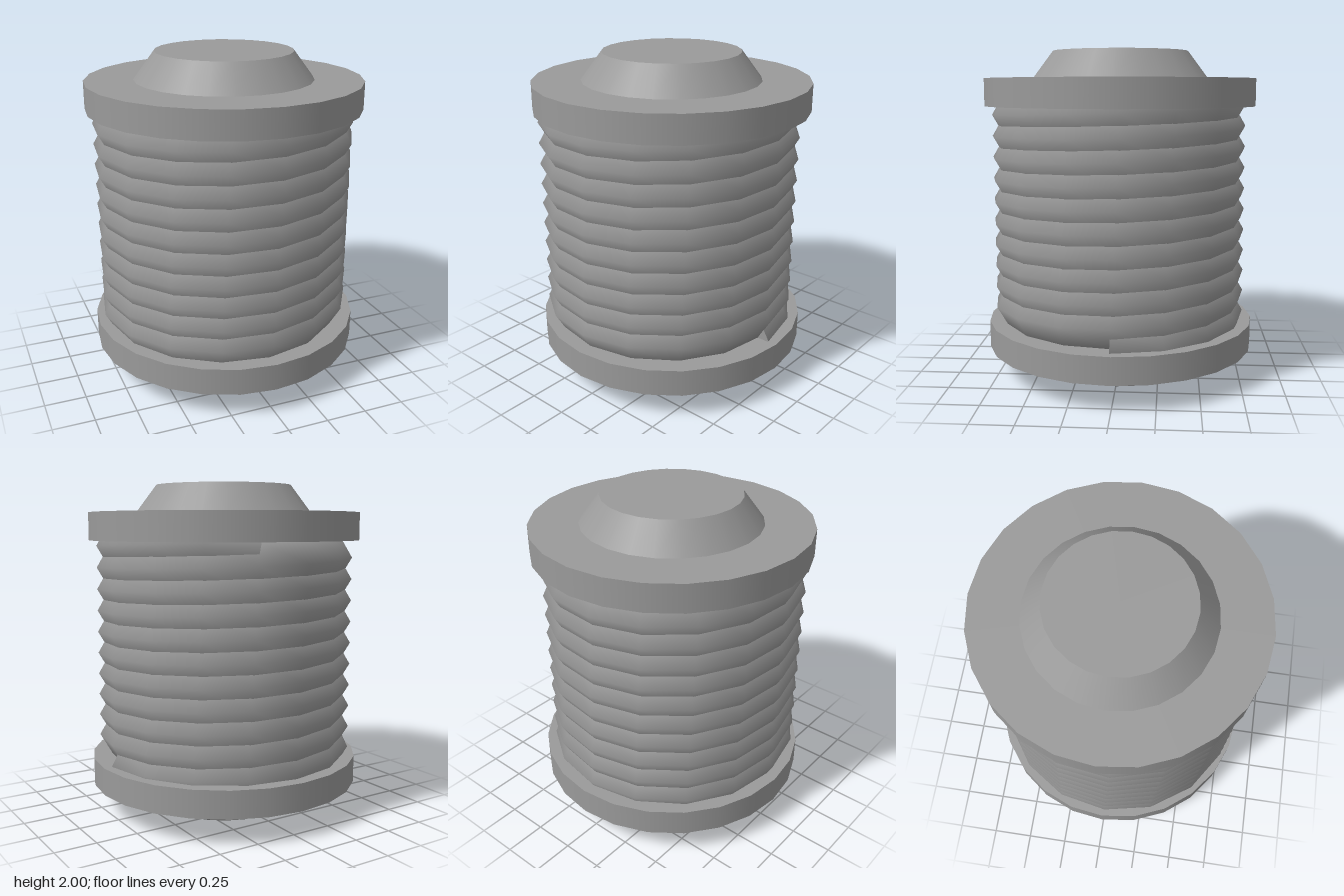
import * as THREE from 'three';

const material = new THREE.MeshStandardMaterial({ color: 0x9a9a9a });

// Turned part with 24 sides, given by its end heights and radii
function disc(name, y0, y1, r0, r1) {
  const mesh = new THREE.Mesh(new THREE.CylinderGeometry(r1, r0, y1 - y0, 24), material);
  mesh.name = name;
  mesh.position.y = (y0 + y1) / 2;
  return mesh;
}

// Hexagonal wire wound upwards in a helix; neighbouring turns overlap into V grooves
function windingGeometry() {
  const turns = 10.2, steps = 163, sides = 6;
  const outerRadius = 0.791, pitch = 0.1305, startY = 0.337, wire = 0.16;
  const positions = [], index = [];

  const addRing = (i) => {
    const first = positions.length / 3;
    const turn = (i / steps) * turns, a = turn * Math.PI * 2;
    for (let j = 0; j < sides; j++) {
      const b = (j / sides) * Math.PI * 2;
      const r = outerRadius - wire + wire * Math.cos(b);
      positions.push(r * Math.cos(a), startY + turn * pitch + wire * Math.sin(b), -r * Math.sin(a));
    }
    return first;
  };

  for (let i = 0; i <= steps; i++) addRing(i);
  for (let i = 0; i < steps; i++) {
    for (let j = 0; j < sides; j++) {
      const a = i * sides + j, b = i * sides + (j + 1) % sides;
      index.push(a, a + sides, b, b, a + sides, b + sides);
    }
  }

  // Flat ends with their own corners
  const start = addRing(0), end = addRing(steps);
  for (let j = 1; j < sides - 1; j++) {
    index.push(start, start + j, start + j + 1, end, end + j + 1, end + j);
  }

  const geometry = new THREE.BufferGeometry();
  geometry.setAttribute('position', new THREE.Float32BufferAttribute(positions, 3));
  geometry.setIndex(index);
  geometry.computeVertexNormals();
  return geometry;
}

export function createModel() {
  const group = new THREE.Group();
  group.name = 'wireSpool';

  // Flanges and tapered hubs
  group.add(
    disc('bottomHub', 0, 0.168, 0.415, 0.54),
    disc('bottomFlange', 0.168, 0.333, 0.833, 0.833),
    disc('topFlange', 1.668, 1.834, 0.833, 0.833),
    disc('topHub', 1.834, 2, 0.54, 0.415)
  );

  // Winding, set slightly off the flange axis
  const winding = new THREE.Mesh(windingGeometry(), material);
  winding.name = 'winding';
  winding.position.set(-0.01, 0, 0.01);
  group.add(winding);

  return group;
}
